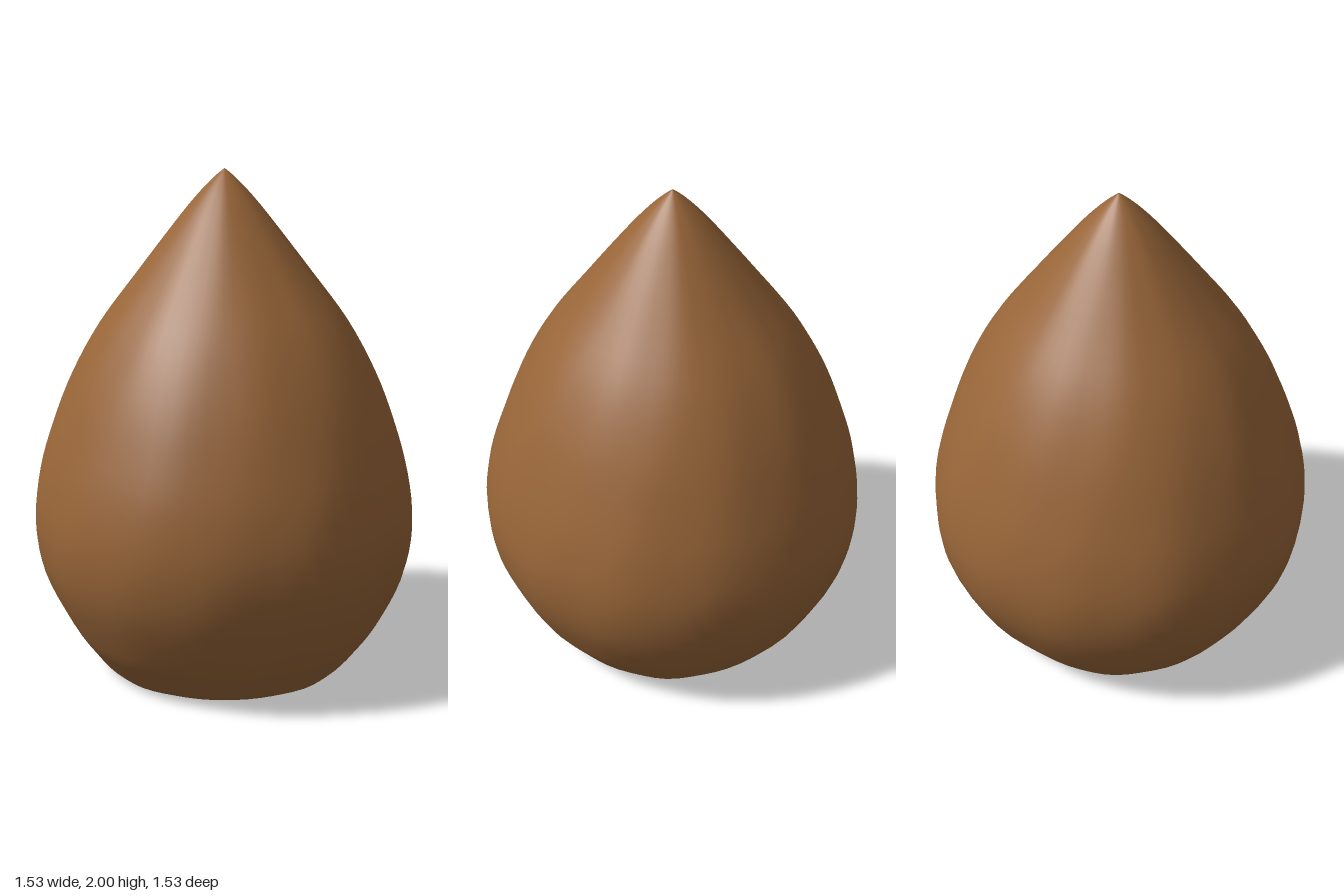
import * as THREE from 'three';
import { mergeVertices } from 'three/addons/utils/BufferGeometryUtils.js';

const SIDES = 64;

// Shallow, irregular swells that keep the shell from being perfectly round
function ripple(geometry) {
  const p = geometry.attributes.position;
  for (let i = 0; i < p.count; i++) {
    const x = p.getX(i), y = p.getY(i), z = p.getZ(i);
    const a = Math.atan2(z, x);
    const k = 1 + 0.005 * Math.sin(5 * a + 1.3 * y)
                + 0.004 * Math.sin(9 * a - 3 * y + 1)
                + 0.003 * Math.sin(14 * a + 5 * y);
    p.setX(i, x * k);
    p.setZ(i, z * k);
  }
  // Weld the seam so that the shading runs smoothly all the way round
  geometry.deleteAttribute('uv');
  geometry.deleteAttribute('normal');
  const welded = mergeVertices(geometry, 1e-4);
  welded.computeVertexNormals();
  return welded;
}

export function createModel() {
  const group = new THREE.Group();
  group.name = 'nut';

  // Teardrop shell: radius and height from the base rim to the tip
  const outline = [
    [0.47, 0], [0.51, 0.025], [0.57, 0.1], [0.638, 0.2], [0.73, 0.4],
    [0.763, 0.6], [0.74, 0.8], [0.68, 1.0], [0.6, 1.2], [0.49, 1.4],
    [0.342, 1.6], [0.188, 1.8], [0.105, 1.9], [0.042, 1.965], [0, 2],
  ].map(([r, y]) => new THREE.Vector2(r, y));
  const profile = new THREE.SplineCurve(outline).getPoints(56);
  profile[profile.length - 1].set(0, 2);
  const shell = new THREE.Mesh(
    ripple(new THREE.LatheGeometry(profile, SIDES)),
    new THREE.MeshStandardMaterial({ color: 0x986538 }),
  );
  shell.name = 'shell';
  group.add(shell);

  // Flat, darker underside
  const disc = new THREE.CircleGeometry(0.47, SIDES).rotateX(Math.PI / 2);
  const base = new THREE.Mesh(
    ripple(disc),
    new THREE.MeshStandardMaterial({ color: 0x6b4526 }),
  );
  base.name = 'base';
  group.add(base);

  return group;
}
